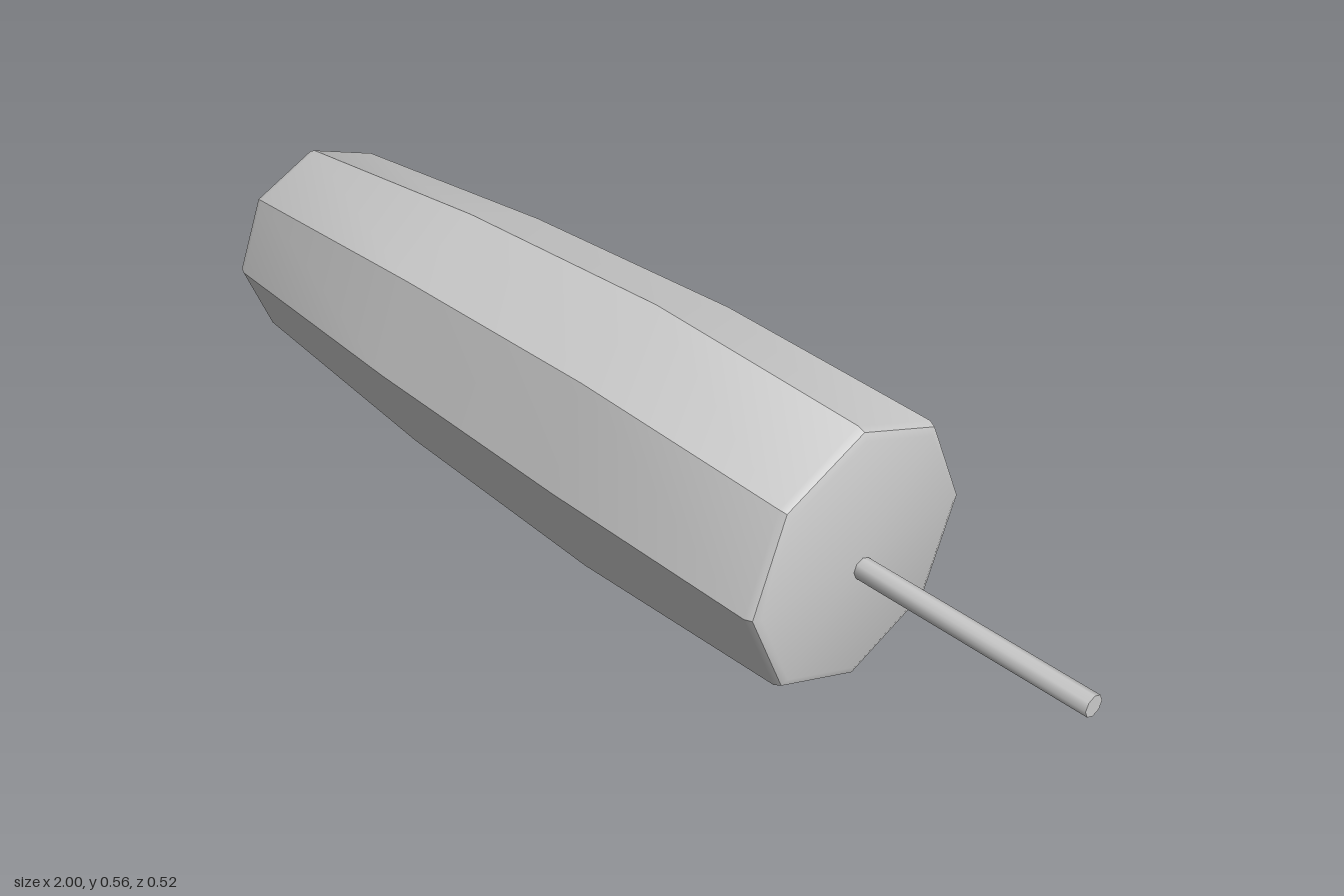
import * as THREE from 'three';
import { toCreasedNormals } from 'three/addons/utils/BufferGeometryUtils.js';

const SIDES = 8;
const CENTER_Y = 0.281;

// Octagonal loft along x; each section is [x, half height, half depth]
function loft(sections) {
  const positions = [];
  const index = [];
  for (const [x, ry, rz] of sections) {
    for (let j = 0; j < SIDES; j++) {
      const a = (j / SIDES) * Math.PI * 2;
      positions.push(x, Math.cos(a) * ry, Math.sin(a) * rz);
    }
  }
  const at = (i, j) => i * SIDES + (j % SIDES);
  const last = sections.length - 1;
  for (let i = 0; i < last; i++) {
    for (let j = 0; j < SIDES; j++) {
      index.push(at(i, j), at(i, j + 1), at(i + 1, j + 1));
      index.push(at(i, j), at(i + 1, j + 1), at(i + 1, j));
    }
  }
  // flat end caps
  const startCenter = positions.length / 3;
  positions.push(sections[0][0], 0, 0, sections[last][0], 0, 0);
  for (let j = 0; j < SIDES; j++) {
    index.push(startCenter, at(0, j + 1), at(0, j));
    index.push(startCenter + 1, at(last, j), at(last, j + 1));
  }
  const geometry = new THREE.BufferGeometry();
  geometry.setAttribute('position', new THREE.Float32BufferAttribute(positions, 3));
  geometry.setIndex(index);
  return toCreasedNormals(geometry, 0.5);
}

export function createModel() {
  const group = new THREE.Group();
  const material = new THREE.MeshStandardMaterial({ color: 0xcccccc });

  // Bulging octagonal grip with rounded end rims
  const handle = new THREE.Mesh(loft([
    [-1, 0.18, 0.178],
    [-0.994, 0.194, 0.19],
    [-0.98, 0.201, 0.196],
    [-0.5, 0.255, 0.232],
    [0, 0.281, 0.254],
    [0.48, 0.262, 0.262],
    [0.494, 0.256, 0.256],
    [0.5, 0.241, 0.241],
  ]), material);
  handle.name = 'handle';
  handle.position.y = CENTER_Y;
  group.add(handle);

  // Thin rod set slightly off the handle's axis
  const rodGeometry = toCreasedNormals(
    new THREE.CylinderGeometry(0.021, 0.021, 0.51, SIDES), 0.9);
  const rod = new THREE.Mesh(rodGeometry, material);
  rod.name = 'rod';
  rod.rotation.z = -Math.PI / 2;
  rod.position.set(0.745, 0.256, -0.006);
  group.add(rod);

  return group;
}
